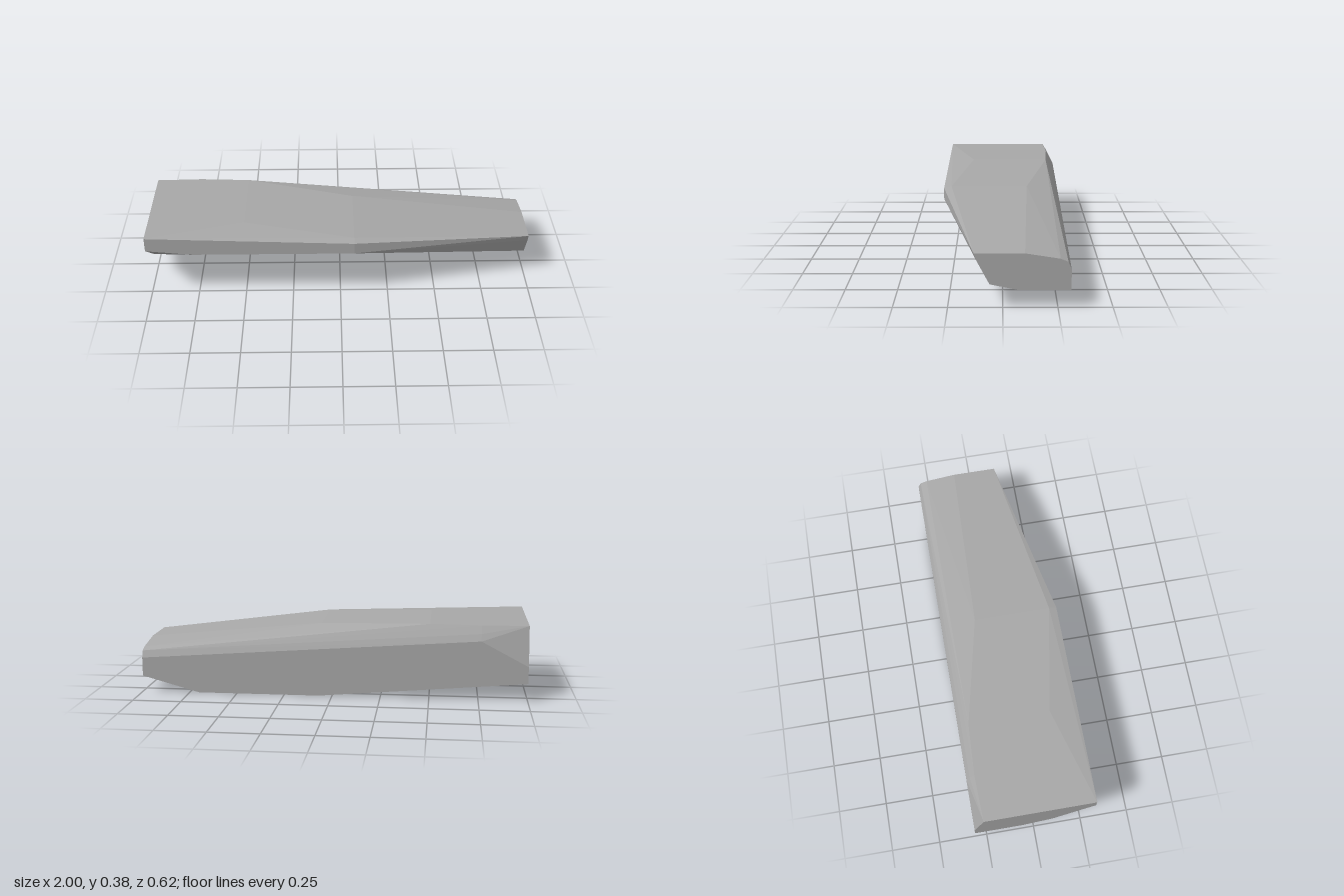
import * as THREE from 'three';
import { ConvexGeometry } from 'three/addons/geometries/ConvexGeometry.js';

// Cross-sections along x: [x, [z, y], [z, y], ...]
const sections = [
  // broad end
  [-1, [0.31, 0.38], [0.31, 0.305], [0.096, 0.134], [-0.063, 0.09], [-0.31, 0.09], [-0.31, 0.178], [-0.26, 0.38]],
  // front lower edge and rear shoulder
  [-0.76, [0.31, 0.28], [-0.31, 0.305], [-0.293, 0.34], [-0.268, 0.38]],
  // end of the level top
  [-0.5, [0.165, 0.38], [-0.255, 0.38]],
  // middle ridge and start of the flat base
  [0.07, [0.27, 0.35], [0.31, 0.34], [0.31, 0.28], [-0.118, 0], [-0.31, 0], [-0.13, 0.35]],
  // end of the flat base
  [0.7, [-0.118, 0], [-0.31, 0]],
  // narrow end
  [1, [0.13, 0.255], [0.118, 0.22], [0.06, 0.11], [-0.07, 0.083], [-0.31, 0.083], [-0.31, 0.18],
    [-0.295, 0.215], [-0.26, 0.23], [-0.1, 0.255]],
];

export function createModel() {
  const group = new THREE.Group();
  group.name = 'stoneSlab';

  const stone = new THREE.MeshStandardMaterial({ color: 0xa8a8a8 });
  stone.name = 'grey stone';

  // Faceted block stretched over the cross-sections
  const points = sections.flatMap(([x, ...ring]) => ring.map(([z, y]) => new THREE.Vector3(x, y, z)));
  const block = new THREE.Mesh(new ConvexGeometry(points), stone);
  block.name = 'facetedBlock';
  group.add(block);

  return group;
}
